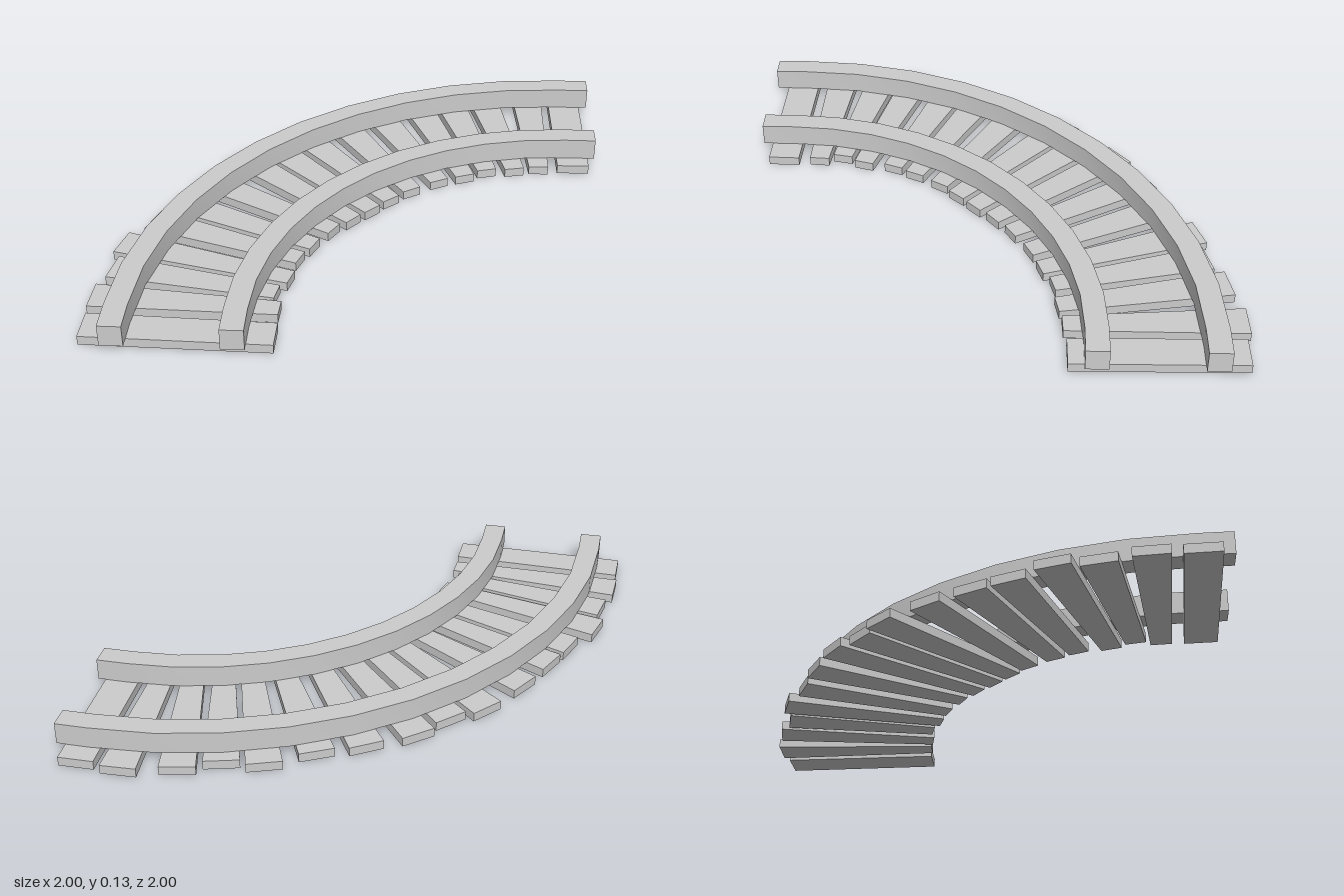
import * as THREE from 'three';
import { toCreasedNormals } from 'three/addons/utils/BufferGeometryUtils.js';

const material = new THREE.MeshStandardMaterial({ color: 0xcccccc });

// Extrude a plan outline of [x, z] points upward from y0 to y1
function slab(name, points, y0, y1) {
  const shape = new THREE.Shape(points.map(([x, z]) => new THREE.Vector2(x, z)));
  const geometry = new THREE.ExtrudeGeometry(shape, { depth: y1 - y0, bevelEnabled: false });
  geometry.rotateX(Math.PI / 2).translate(0, y1, 0);
  const mesh = new THREE.Mesh(toCreasedNormals(geometry, 0.5), material);
  mesh.name = name;
  return mesh;
}

// Quarter-circle rail with a short straight run at both ends
const BEND = 0.87, END = 1, RAIL_WIDTH = 0.09, SEGMENTS = 11;
function rail(name, offset) {
  const edge = (r) => {
    const pts = [[BEND - r, END]];
    for (let i = 0; i <= SEGMENTS; i++) {
      const a = (i / SEGMENTS) * Math.PI / 2;
      pts.push([BEND - r * Math.cos(a), BEND - r * Math.sin(a)]);
    }
    pts.push([END, BEND - r]);
    return pts;
  };
  const r = BEND + offset;
  return slab(name, [...edge(r + RAIL_WIDTH / 2), ...edge(r - RAIL_WIDTH / 2).reverse()], 0.04, 0.13);
}

// Tapered plank between the middles of its outer and inner ends
function sleeper([x0, z0, x1, z1, innerWidth = 0.083]) {
  const length = Math.hypot(x1 - x0, z1 - z0);
  const nx = -(z1 - z0) / length / 2, nz = (x1 - x0) / length / 2;
  const w0 = 0.14, w1 = innerWidth;
  return slab('sleeper', [
    [x0 + nx * w0, z0 + nz * w0], [x0 - nx * w0, z0 - nz * w0],
    [x1 - nx * w1, z1 - nz * w1], [x1 + nx * w1, z1 + nz * w1],
  ], 0, 0.038);
}

// Outer x, z, inner x, z and, for the end planks, the inner width
const SLEEPERS = [
  [-0.995, 0.88, -0.27, 0.9, 0.13],
  [-0.995, 0.7, -0.27, 0.745],
  [-0.95, 0.515, -0.29, 0.645],
  [-0.945, 0.35, -0.245, 0.55],
  [-0.845, 0.185, -0.22, 0.42],
  [-0.78, 0.04, -0.17, 0.325],
  [-0.69, -0.14, -0.1, 0.215],
  [-0.565, -0.335, -0.025, 0.14],
  [-0.435, -0.43, 0.05, 0.065],
  [-0.33, -0.56, 0.125, -0.015],
  [-0.15, -0.67, 0.21, -0.09],
  [0.025, -0.75, 0.325, -0.165],
  [0.2, -0.86, 0.435, -0.21],
  [0.36, -0.88, 0.53, -0.26],
  [0.51, -0.95, 0.65, -0.275],
  [0.725, -0.998, 0.755, -0.295],
  [0.895, -0.985, 0.905, -0.31, 0.135],
];

export function createModel() {
  const track = new THREE.Group();
  track.name = 'curvedTrack';
  track.add(rail('outerRail', 0.86), rail('innerRail', 0.417));
  const sleepers = new THREE.Group();
  sleepers.name = 'sleepers';
  SLEEPERS.forEach((s) => sleepers.add(sleeper(s)));
  track.add(sleepers);
  return track;
}
